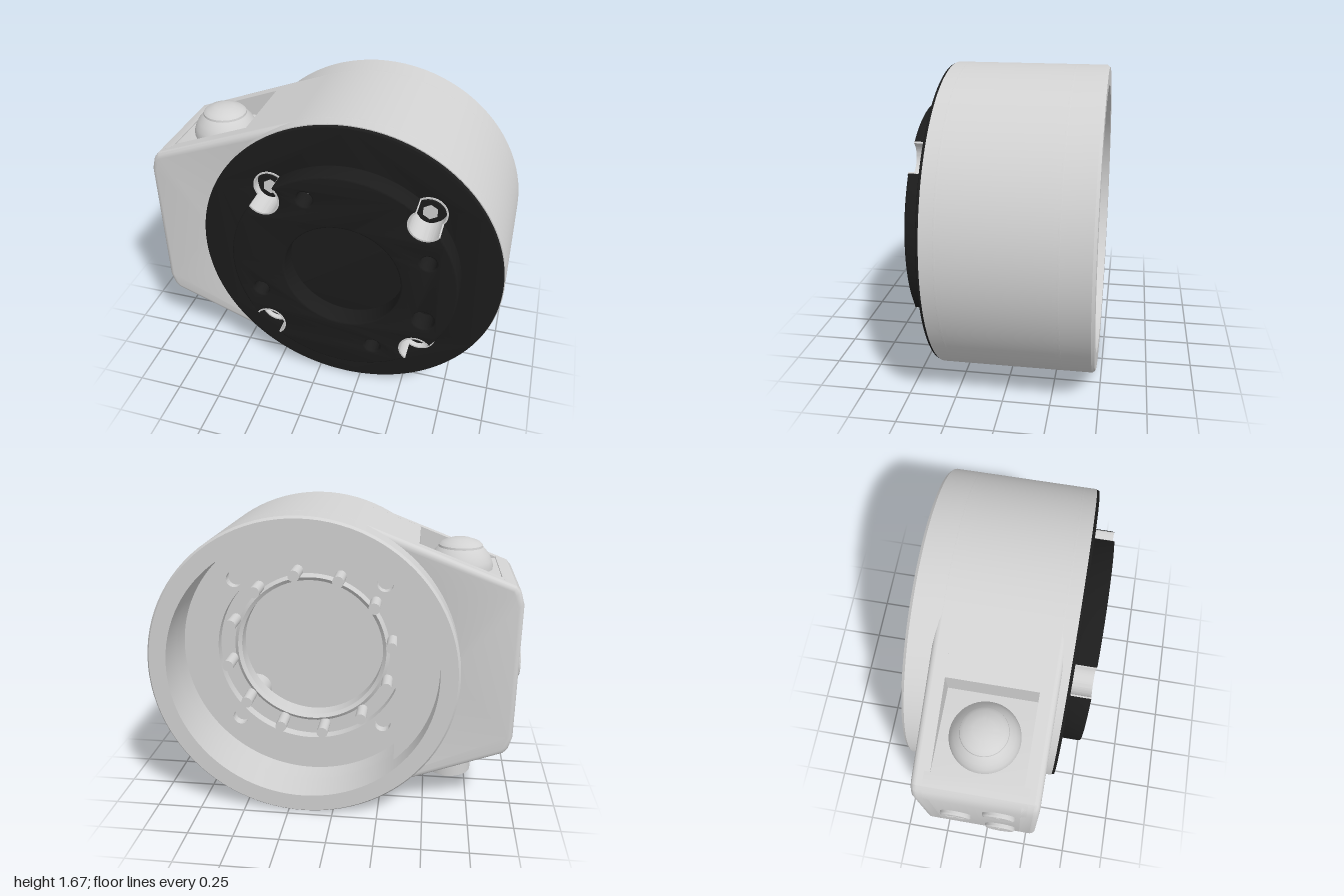
import * as THREE from 'three';
import { toCreasedNormals } from 'three/addons/utils/BufferGeometryUtils.js';

const CX = 0.165, CY = 0.835, R = 0.835, BORE = 0.73;

export function createModel() {
  const root = new THREE.Group();
  const metal = new THREE.MeshStandardMaterial({ name: 'light grey metal', color: 0xd2d2d2 });
  const black = new THREE.MeshStandardMaterial({ name: 'black plate', color: 0x1c1c1c });

  const add = (name, geo, mat = metal, x = 0, y = 0, z = 0) => {
    const m = new THREE.Mesh(geo, mat);
    m.name = name;
    m.position.set(x, y, z);
    root.add(m);
  };
  const lathe = (pts, seg = 96) =>
    toCreasedNormals(new THREE.LatheGeometry(pts.map(p => new THREE.Vector2(...p)), seg), 0.4);
  // profile given as [radius, z], turned around the main axis
  const latheZ = (name, pts) => add(name, lathe(pts).rotateX(Math.PI / 2), metal, CX, CY);
  const extrude = (shape, z0, z1, bevel = 0) => {
    const g = new THREE.ExtrudeGeometry(shape, {
      depth: z1 - z0 - 2 * bevel, curveSegments: 96, bevelEnabled: bevel > 0,
      bevelThickness: bevel, bevelSize: bevel, bevelOffset: -bevel, bevelSegments: 4,
    });
    return toCreasedNormals(g.translate(0, 0, z0 + bevel), 0.5);
  };
  const circlePath = (x, y, r) => new THREE.Path().absarc(x, y, r, 0, Math.PI * 2, true);
  const circleShape = r => new THREE.Shape().absarc(0, 0, r, 0, Math.PI * 2, false);
  const rodZ = (r, z0, z1, seg = 24) =>
    new THREE.CylinderGeometry(r, r, z1 - z0, seg).rotateX(Math.PI / 2).translate(0, 0, (z0 + z1) / 2);

  // Outline: round body with a tapering side housing, optionally with pockets above and below
  const tangent = THREE.MathUtils.degToRad(110.9);
  const outline = (pocket, hole) => {
    const upper = [];
    if (pocket) upper.push([-0.43, 1.501], [-0.43, 1.33], [-0.86, 1.33], [-0.86, 1.337]);
    upper.push([-0.93, 1.31], [-0.955, 1.28], [-0.975, 1.21]);
    const s = new THREE.Shape();
    s.absarc(CX, CY, R, -tangent, tangent, false);
    upper.forEach(([x, y]) => s.lineTo(x, y));
    [...upper].reverse().forEach(([x, y]) => s.lineTo(x, 2 * CY - y));
    s.closePath();
    s.holes.push(circlePath(CX, CY, hole));
    return s;
  };
  add('housingMiddle', extrude(outline(true, BORE), -0.28, 0.24));
  add('pocketWallBack', extrude(outline(false, BORE), -0.31, -0.25));
  add('pocketWallFront', extrude(outline(false, BORE), 0.21, 0.27));
  add('housingBack', extrude(outline(false, 0.765), -0.34, -0.27, 0.03));
  add('housingFront', extrude(outline(false, 0.765), 0.23, 0.30, 0.03));

  // Round body: rear rim and front band
  latheZ('rearRim', [[BORE, -0.475], [R - 0.012, -0.475], [R, -0.46], [R, -0.28], [BORE, -0.28], [BORE, -0.475]]);
  latheZ('frontBand', [[BORE, 0.24], [R, 0.24], [R, 0.34], [BORE, 0.34], [BORE, 0.24]]);

  // Interior from the back: cavity behind a ring, flange with bolt holes, pins
  latheZ('innerRing', [[0, 0.3], [0.725, 0.3], [0.725, 0], [0.41, 0], [0.41, -0.085], [0.43, -0.1],
    [0.45, -0.085], [0.54, -0.085], [0.54, -0.1], [0.735, -0.1]]);
  const corners = [0, 1, 2, 3].map(k => Math.PI / 4 + k * Math.PI / 2);
  const BD = 0.594, BR = 0.09;
  const boltPos = corners.map(a => [BD * Math.cos(a), BD * Math.sin(a)]);
  const flange = circleShape(0.735);
  flange.holes.push(circlePath(0, 0, 0.53), ...boltPos.map(([x, y]) => circlePath(x, y, 0.045)));
  add('innerFlange', extrude(flange, -0.155, -0.095), metal, CX, CY);
  for (let i = 0; i < 12; i++) {
    const a = (i + 0.7) / 12 * Math.PI * 2;
    add('innerPin', rodZ(0.032, -0.22, -0.08, 16), metal, CX + 0.47 * Math.cos(a), CY + 0.47 * Math.sin(a));
  }
  // flat-sided block closing the bore towards the housing
  const chord = Math.acos(0.497 / 0.735);
  const segment = new THREE.Shape().absarc(0, 0, 0.735, Math.PI - chord, Math.PI + chord, false);
  segment.closePath();
  add('innerBlock', extrude(segment, -0.36, -0.1), metal, CX, CY);

  // Black front plate with four counterbores
  const plate = circleShape(R - 0.005);
  plate.holes.push(...boltPos.map(([x, y]) => circlePath(x, y, BR)));
  add('frontPlate', extrude(plate, 0.335, 0.356, 0.008), black, CX, CY);

  // Raised disc with open-sided counterbores, small holes and a central recess
  const RD = 0.615;
  const half = Math.acos((RD * RD + BD * BD - BR * BR) / (2 * RD * BD));
  const open = Math.atan2(RD * Math.sin(half), RD * Math.cos(half) - BD);
  const disc = new THREE.Shape();
  corners.forEach((a, i) => {
    disc.absarc(...boltPos[i], BR, a - open, a + open, true);
    disc.absarc(0, 0, RD, a + half, a + Math.PI / 2 - half, false);
  });
  disc.closePath();
  disc.holes.push(circlePath(0, 0, 0.318), circlePath(0.45, -0.19, 0.058));
  [[-0.195, 0.46], [0.45, 0.195], [-0.46, -0.18], [0.18, -0.45]].forEach(([x, y]) => {
    disc.holes.push(circlePath(x, y, 0.043));
    add('holeBottom', new THREE.CircleGeometry(0.046, 24), metal, CX + x, CY + y, 0.359);
  });
  add('raisedDisc', extrude(disc, 0.35, 0.475, 0.01), black, CX, CY);

  // Counterbore linings and sunken socket bolts
  const ring = circleShape(0.092);
  ring.holes.push(circlePath(0, 0, 0.083));
  corners.forEach((a, i) => {
    const x = CX + boltPos[i][0], y = CY + boltPos[i][1];
    const lining = new THREE.Shape();
    lining.absarc(0, 0, 0.092, a + open, a - open + Math.PI * 2, false);
    lining.absarc(0, 0, 0.083, a - open + Math.PI * 2, a + open, true);
    lining.closePath();
    add('upperLining', extrude(lining, 0.352, 0.474), metal, x, y);
    add('lowerLining', extrude(ring, 0.305, 0.358), metal, x, y);
    add('counterboreFloor', new THREE.CircleGeometry(0.09, 32), black, x, y, 0.313);
    add('boltHead', rodZ(0.066, 0.312, 0.345), black, x, y);
    add('boltSocket', rodZ(0.042, 0.342, 0.348, 6), metal, x, y);
    add('rearBoltBoss', rodZ(0.088, 0.17, 0.31, 32), metal, x, y);
  });

  // Domed button in the upper pocket
  add('domeButton', lathe([[0.178, 1.32], [0.178, 1.35], [0.17, 1.375], [0.152, 1.41], [0.128, 1.437], [0.12, 1.445],
    [0.118, 1.456], [0.1, 1.472], [0.055, 1.488], [0, 1.493]], 48), metal, -0.65, 0, -0.02);

  // Cable connector in the lower pocket
  add('connectorBody', lathe([[0, 0.15], [0.112, 0.15], [0.112, 0.098], [0.13, 0.098], [0.13, 0.235],
    [0.12, 0.24], [0.12, 0.265], [0.178, 0.285], [0.178, 0.35]], 48), metal, -0.647, 0, -0.02);
  add('connectorCore', lathe([[0, 0.085], [0.066, 0.085], [0.066, 0.062], [0.076, 0.062], [0.076, 0.16]], 40),
    metal, -0.647, 0, -0.02);
  for (let i = 0; i < 8; i++) {
    const a = i / 7 * Math.PI * 2, r = i ? 0.043 : 0;
    add('connectorPin', new THREE.CylinderGeometry(0.01, 0.01, 0.03, 10), metal,
      -0.647 + r * Math.cos(a), 0.08, -0.02 + r * Math.sin(a));
  }

  // Screw heads on the side face, with drive marks
  const head = lathe([[0.085, 0], [0.085, 0.014], [0.076, 0.022], [0, 0.022]], 32).rotateZ(Math.PI / 2);
  [[1.065, 0.1], [CY, -0.14], [0.615, 0.1]].forEach(([y, z], i) => {
    add('sideScrew', head, metal, -0.975, y, z);
    add('screwMark', new THREE.BoxGeometry(0.006, 0.1, 0.016), metal, -0.997, y, z);
    if (i === 1) add('screwMark', new THREE.BoxGeometry(0.006, 0.016, 0.1), metal, -0.997, y, z);
  });

  return root;
}
